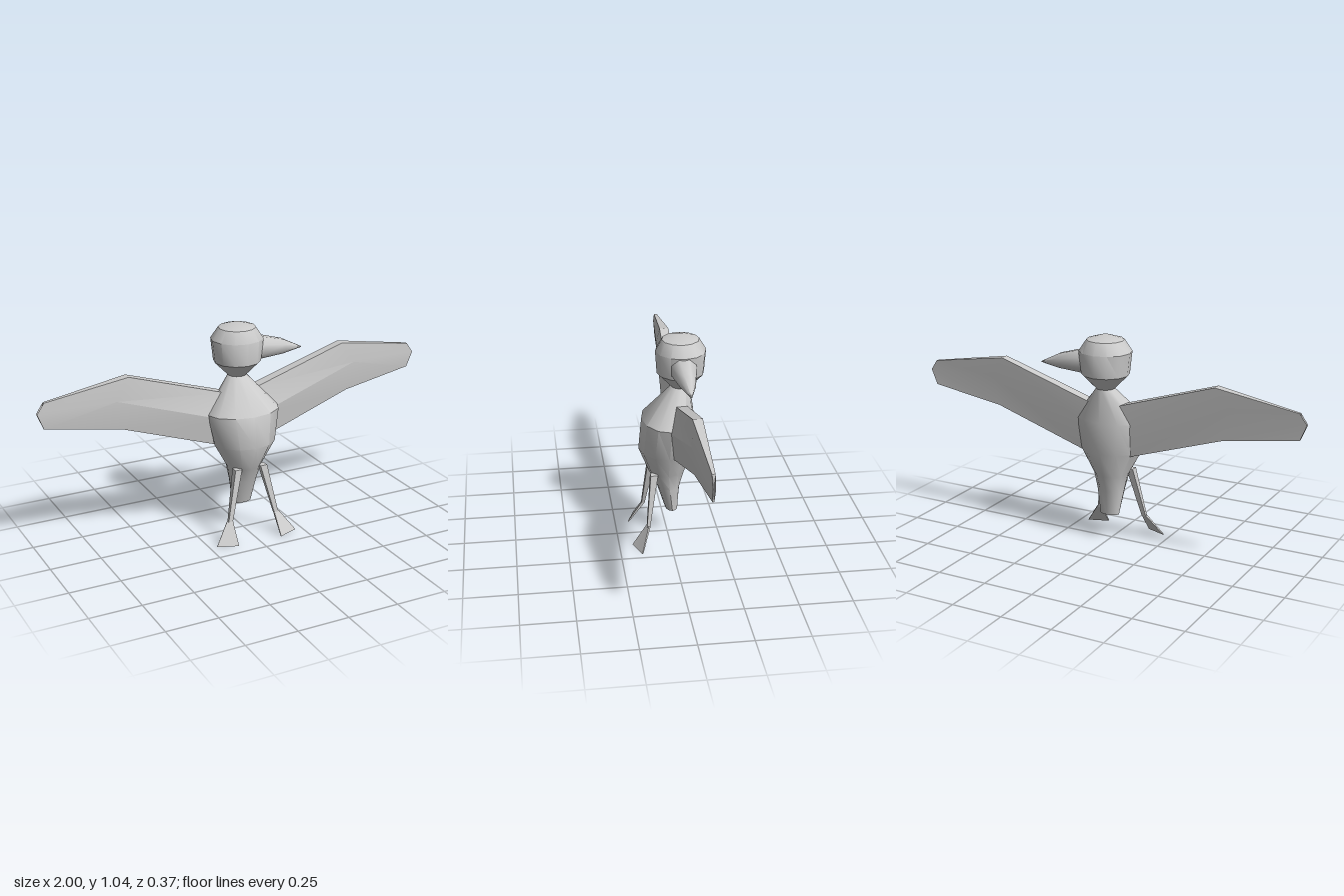
import * as THREE from 'three';
import { toCreasedNormals } from 'three/addons/utils/BufferGeometryUtils.js';

// Closed solid through rings of equal point count, ends closed by fans.
function loft(rings, crease) {
  const n = rings[0].length;
  const tris = [];
  for (let i = 0; i < rings.length - 1; i++) {
    for (let j = 0; j < n; j++) {
      const k = (j + 1) % n;
      const [a, b, c, d] = [rings[i][j], rings[i][k], rings[i + 1][k], rings[i + 1][j]];
      tris.push([a, b, c], [a, c, d]);
    }
  }
  const centre = (r) => [0, 1, 2].map((q) => r.reduce((s, p) => s + p[q], 0) / n);
  const first = rings[0], last = rings[rings.length - 1];
  const c0 = centre(first), c1 = centre(last);
  for (let j = 0; j < n; j++) {
    const k = (j + 1) % n;
    tris.push([c0, first[k], first[j]], [c1, last[j], last[k]]);
  }
  // Turn all faces outwards, whichever way the rings run
  let volume = 0;
  for (const [a, b, c] of tris) {
    volume += new THREE.Vector3(...a).dot(new THREE.Vector3(...b).cross(new THREE.Vector3(...c)));
  }
  if (volume < 0) tris.forEach((t) => t.reverse());
  const geometry = new THREE.BufferGeometry();
  geometry.setAttribute('position', new THREE.Float32BufferAttribute(tris.flat(2), 3));
  return toCreasedNormals(geometry, crease);
}

// Horizontal ellipse: height, half width, front z, back z
function ellipse([y, rx, front, back], sides = 12) {
  return Array.from({ length: sides }, (_, i) => {
    const a = (i / sides) * Math.PI * 2;
    return [rx * Math.cos(a), y, (front + back) / 2 + ((front - back) / 2) * Math.sin(a)];
  });
}

export function createModel() {
  const group = new THREE.Group();
  const material = new THREE.MeshStandardMaterial({ color: 0xcccccc });
  const add = (name, rings, crease = 0.65) => {
    const mesh = new THREE.Mesh(loft(rings, crease), material);
    mesh.name = name;
    group.add(mesh);
  };

  // Body and head in one skin, from tail to crown
  add('bodyAndHead', [
    [0.125, 0.002, -0.018, -0.022],
    [0.135, 0.05, 0.01, -0.05],
    [0.26, 0.07, 0.05, -0.06],
    [0.34, 0.085, 0.09, -0.085],
    [0.465, 0.155, 0.14, -0.125],
    [0.62, 0.185, 0.125, -0.13],
    [0.78, 0.045, -0.018, -0.108],
    [0.85, 0.115, 0.05, -0.175],
    [0.96, 0.128, 0.057, -0.184],
    [1.015, 0.09, 0.026, -0.151],
    [1.042, 0.002, -0.061, -0.065],
  ].map((r) => ellipse(r)));

  // Beak turned to the left side: x, top y, bottom y, half width
  add('beak', [
    [0.09, 0.957, 0.847, 0.058],
    [0.12, 0.955, 0.845, 0.058],
    [0.245, 0.92, 0.85, 0.035],
    [0.348, 0.868, 0.863, 0.003],
  ].map(([x, top, bottom, w]) => Array.from({ length: 8 }, (_, i) => {
    const a = ((i + 0.5) / 8) * Math.PI * 2;
    const k = 1 / Math.cos(Math.PI / 8);
    return [x, (top + bottom) / 2 + ((top - bottom) / 2) * k * Math.sin(a),
      -0.064 + w * k * Math.cos(a)];
  })), 0.9);

  // Wing sections: leading, middle and trailing point, each x, y, front z, back z
  const wing = [
    [[0.08, 0.707, -0.03, -0.085], [0.08, 0.58, 0.01, -0.08], [0.08, 0.44, -0.01, -0.06]],
    [[0.565, 0.86, -0.035, -0.08], [0.63, 0.755, -0.025, -0.07], [0.6, 0.61, -0.04, -0.06]],
    [[0.965, 0.795, -0.055, -0.07], [1, 0.745, -0.055, -0.067], [0.97, 0.67, -0.058, -0.066]],
  ];
  // Leg sections, hip to ankle: inner x, outer x, y, front z, back z
  const leg = [
    [0.05, 0.085, 0.35, 0.09, 0.055],
    [0.113, 0.135, 0.1, 0.115, 0.1],
  ];

  for (const [side, s] of [['left', 1], ['right', -1]]) {
    add(side + 'Wing', wing.map((section) => [
      ...section.map(([x, y, front]) => [s * x, y, front]),
      ...section.map(([x, y, , back]) => [s * x, y, back]).reverse(),
    ]), 0.4);

    add(side + 'Leg', leg.map(([a, b, y, front, back]) => [
      [s * a, y, front], [s * b, y, front], [s * b, y, back], [s * a, y, back],
    ]), 0.4);

    // Flat webbed foot spreading outwards to the toes
    add(side + 'Foot', [
      [[0.113, 0.105, 0.115], [0.14, 0.105, 0.108], [0.138, 0.1, 0.1], [0.113, 0.1, 0.102]],
      [[0.115, 0, 0.185], [0.215, 0, 0.148], [0.212, 0, 0.143], [0.115, 0, 0.178]],
    ].map((ring) => ring.map(([x, y, z]) => [s * x, y, z])), 0.4);
  }
  return group;
}
